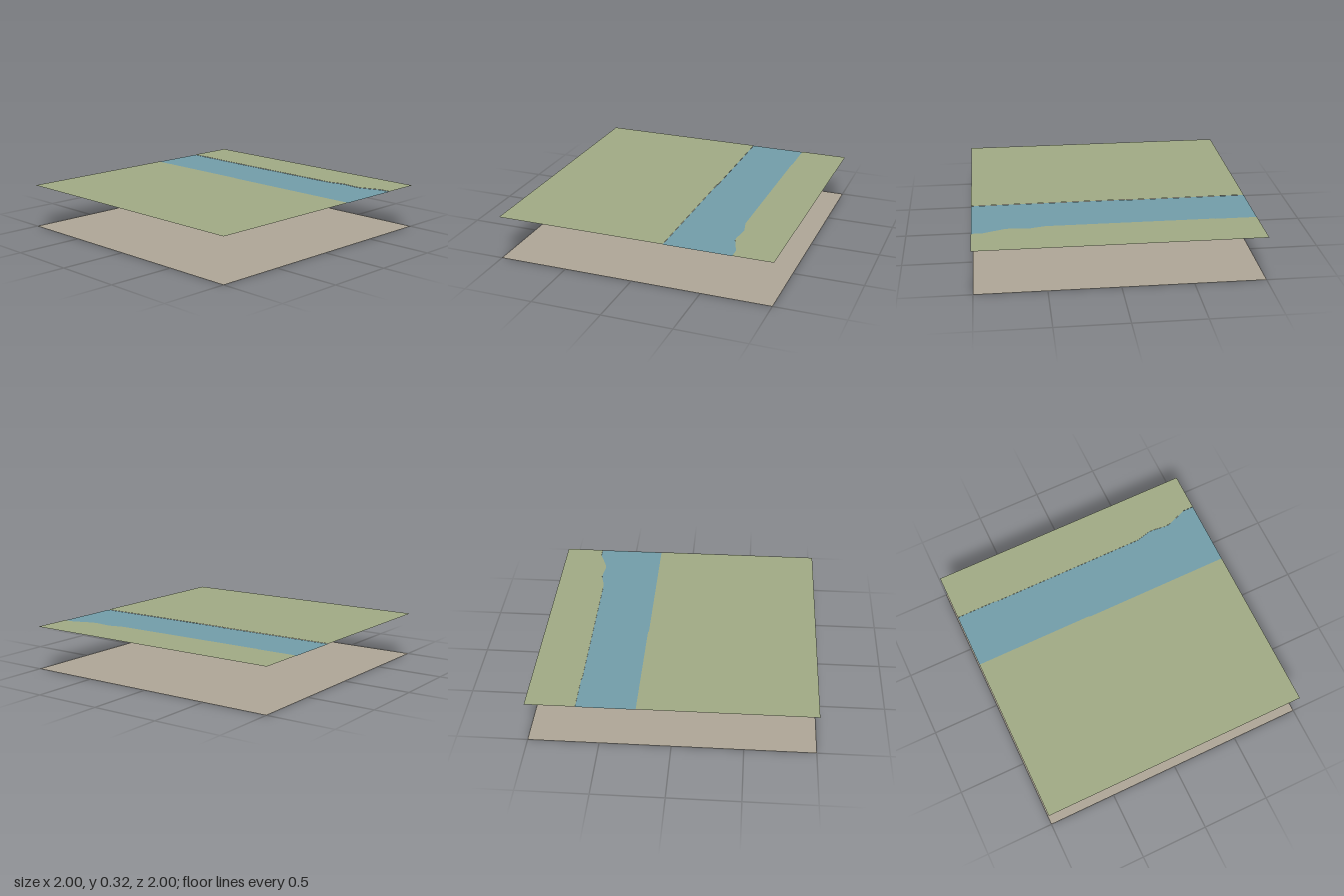
import * as THREE from 'three';

const LAND_Y = 0.318;
const WATER_Y = 0.316;

// River banks as [x, z] points, running from -x to +x
const backBank = [
  [-1, -0.65], [-0.7, -0.65], [-0.69, -0.645], [0.49, -0.645], [0.6, -0.672],
  [0.65, -0.67], [0.73, -0.659], [0.77, -0.663], [0.92, -0.718], [1, -0.718],
];
const frontBank = [[-1, -0.238], [-0.12, -0.238], [-0.1, -0.232], [1, -0.232]];
const backEdge = [[-1, -1], [1, -1]];
const frontEdge = [[-1, 1], [1, 1]];

function material(name, color) {
  const m = new THREE.MeshStandardMaterial({ color, side: THREE.DoubleSide });
  m.name = name;
  return m;
}

// Flat sheet between two lines that both run from -x to +x
function sheet(name, back, front, y, mat) {
  const outline = [...front, ...[...back].reverse()];
  const shape = new THREE.Shape(outline.map(([x, z]) => new THREE.Vector2(x, -z)));
  const geometry = new THREE.ShapeGeometry(shape).rotateX(-Math.PI / 2);
  const mesh = new THREE.Mesh(geometry, mat);
  mesh.name = name;
  mesh.position.y = y;
  return mesh;
}

export function createModel() {
  const grass = material('grass green', 0xa0aa84);
  const water = material('river blue', 0x729da8);
  const earth = material('earth brown', 0xaea596);

  const model = new THREE.Group();
  model.name = 'riverTerrain';
  model.add(
    // Land on both sides of the river
    sheet('backLand', backEdge, backBank, LAND_Y, grass),
    sheet('frontLand', frontBank, frontEdge, LAND_Y, grass),
    // Water lies just below the banks
    sheet('river', backBank, frontBank, WATER_Y, water),
    // Ground layer underneath
    sheet('groundLayer', backEdge, frontEdge, 0, earth),
  );
  return model;
}
